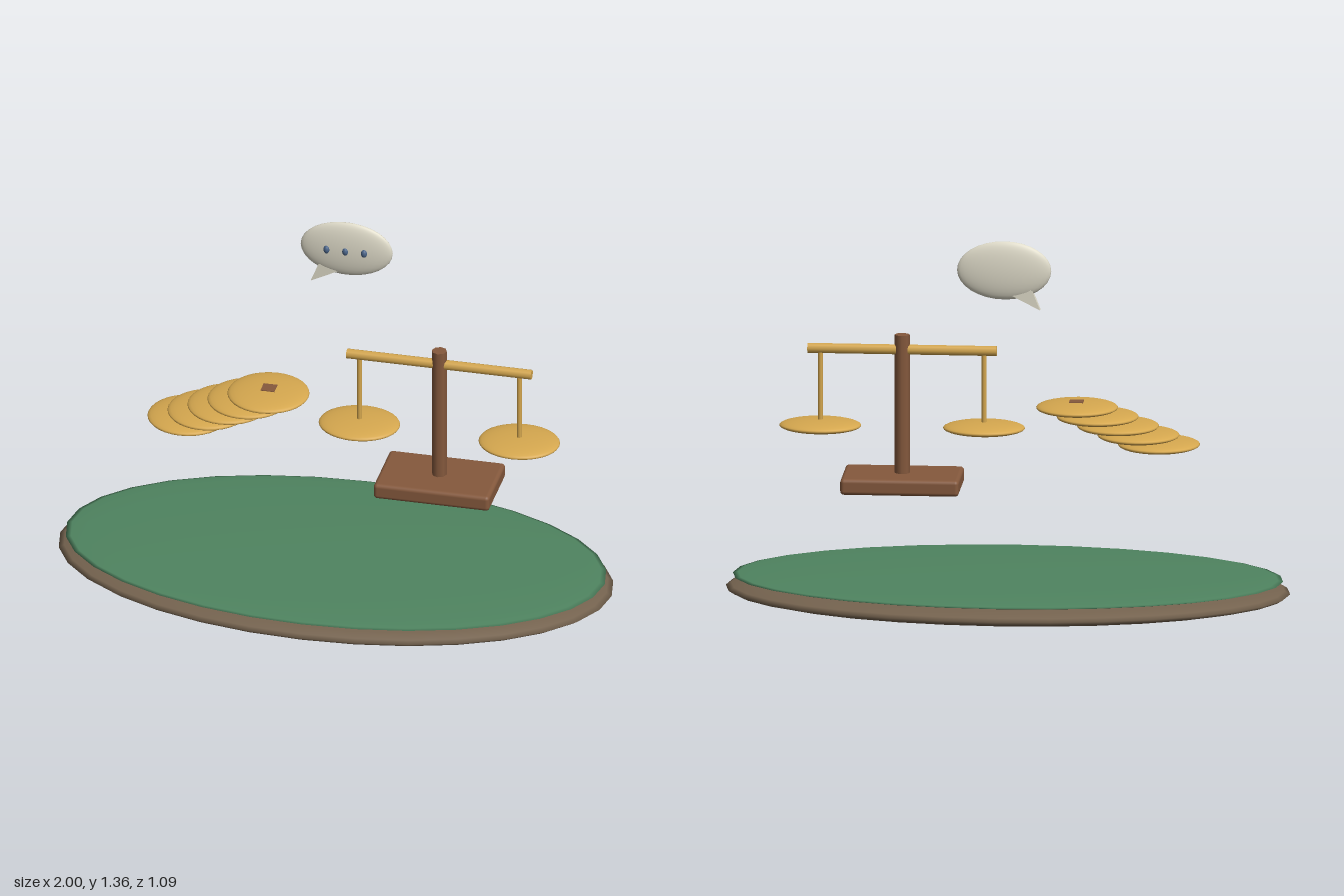
import * as THREE from 'three';
import { RoundedBoxGeometry } from 'three/addons/geometries/RoundedBoxGeometry.js';

const mat = (color) => new THREE.MeshStandardMaterial({ color });

export function createModel() {
  const model = new THREE.Group();
  const rimWood = mat(0x75634f), felt = mat(0x4f8460), wood = mat(0x85593d);
  const gold = mat(0xd6a84f), ivory = mat(0xdfdbc9), blue = mat(0x4a6488);

  const add = (parent, name, geometry, material, x, y, z) => {
    const mesh = new THREE.Mesh(geometry, material);
    mesh.name = name;
    mesh.position.set(x, y, z);
    parent.add(mesh);
    return mesh;
  };
  const group = (name) => {
    const g = new THREE.Group();
    g.name = name;
    model.add(g);
    return g;
  };
  const ellipsoid = (rx, ry, rz, w = 32, h = 16) =>
    new THREE.SphereGeometry(1, w, h).scale(rx, ry, rz);

  // Oval table top with felt inlay
  const table = group('table');
  add(table, 'tableBase', ellipsoid(1, 0.06, 0.545), rimWood, 0, 0.06, 0);
  add(table, 'feltTop', ellipsoid(0.975, 0.019, 0.525), felt, 0, 0.105, 0);

  // Slanted stack of coins, the top one with a square centre
  const coins = group('coinStack');
  for (let i = 0; i < 5; i++) {
    add(coins, 'coin', ellipsoid(0.145, 0.021, 0.145), gold, -0.535 + i * 0.0725, 0.595 + i * 0.032, 0);
  }
  add(coins, 'coinSquare', new THREE.BoxGeometry(0.05, 0.016, 0.05), wood, -0.243, 0.738, 0);

  // Balance scale
  const scale = group('balanceScale');
  const cx = 0.375;
  add(scale, 'scaleBase', new RoundedBoxGeometry(0.42, 0.058, 0.262, 3, 0.014), wood, cx, 0.447, 0);
  add(scale, 'post', new THREE.CylinderGeometry(0.027, 0.027, 0.51, 8), wood, cx, 0.72, 0);
  add(scale, 'beam', new THREE.CylinderGeometry(0.018, 0.018, 0.67, 8), gold, cx, 0.921, 0)
    .rotation.z = Math.PI / 2;
  for (const side of [-1, 1]) {
    const x = cx + side * 0.29;
    add(scale, 'hanger', new THREE.CylinderGeometry(0.009, 0.009, 0.27, 8), gold, x, 0.783, 0);
    add(scale, 'pan', ellipsoid(0.145, 0.021, 0.124), gold, x, 0.643, 0);
  }

  // Speech bubble with tail and three dots
  const bubble = group('speechBubble');
  add(bubble, 'bubbleBody', ellipsoid(0.167, 0.105, 0.026), ivory, 0, 1.25, -0.166);
  const tail = new THREE.Shape([
    new THREE.Vector2(-0.128, 1.11), new THREE.Vector2(-0.03, 1.16),
    new THREE.Vector2(-0.05, 1.19), new THREE.Vector2(-0.1, 1.18),
  ]);
  add(bubble, 'bubbleTail', new THREE.ExtrudeGeometry(tail, { depth: 0.026, bevelEnabled: false }),
    ivory, 0, 0, -0.179);
  for (const x of [-0.068, 0, 0.068]) {
    add(bubble, 'dot', ellipsoid(0.011, 0.015, 0.011, 16, 12), blue, x, 1.25, -0.143);
  }

  return model;
}
